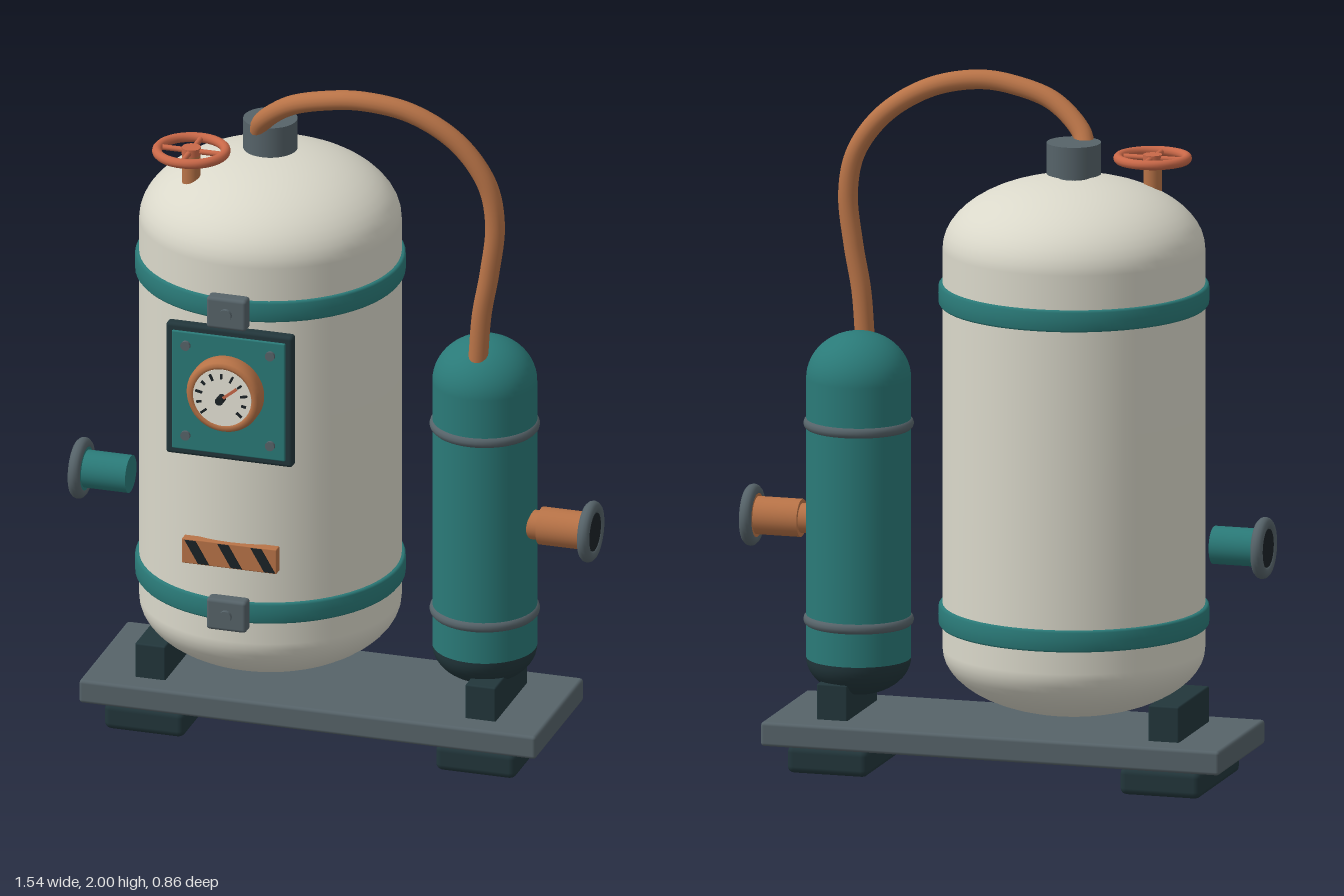
import * as THREE from 'three';
import { RoundedBoxGeometry } from 'three/addons/geometries/RoundedBoxGeometry.js';

const makeMaterial = (name, color, side = THREE.FrontSide) => new THREE.MeshStandardMaterial({ name, color, side });

export function createModel() {
  const model = new THREE.Group();
  model.name = 'pressureTankUnit';
  const cream = makeMaterial('cream', 0xdad8ca);
  const teal = makeMaterial('teal', 0x2a7a78);
  const slate = makeMaterial('slate', 0x566369);
  const dark = makeMaterial('darkSlate', 0x22363b);
  const copper = makeMaterial('copper', 0xb87347);
  const red = makeMaterial('wheelRed', 0xc96848);
  const ivory = makeMaterial('dialIvory', 0xefecdf);
  const ink = makeMaterial('ink', 0x1b2226);

  const add = (name, geometry, material, x = 0, y = 0, z = 0, parent = model) => {
    const mesh = new THREE.Mesh(geometry, material);
    mesh.name = name;
    mesh.position.set(x, y, z);
    parent.add(mesh);
    return mesh;
  };
  const box = (w, h, d, r = 0.01) => new RoundedBoxGeometry(w, h, d, 2, r);
  const rod = (r, h, seg = 32) => new THREE.CylinderGeometry(r, r, h, seg);
  const rodZ = (r, h, seg = 32) => rod(r, h, seg).rotateX(Math.PI / 2);
  const lathe = (pts, seg = 64) => new THREE.LatheGeometry(pts.map(([r, y]) => new THREE.Vector2(r, y)), seg);
  // quarter-ellipse profile running between a pole and a straight wall
  const domePoints = (r, yWall, height, up) => {
    const pts = [];
    for (let i = 0; i <= 14; i++) {
      const a = ((up ? i : 14 - i) / 14) * Math.PI / 2;
      pts.push([i === (up ? 14 : 0) ? 0 : r * Math.cos(a), yWall + (up ? 1 : -1) * height * Math.sin(a)]);
    }
    return pts;
  };

  // Base, feet and saddles
  add('basePlate', box(1.35, 0.07, 0.45), slate, -0.013, 0.115, -0.03);
  for (const [x, saddleX] of [[-0.503, -0.5], [0.476, 0.476]]) {
    add('foot', box(0.238, 0.08, 0.4, 0.02), dark, x, 0.04, -0.025);
    add('saddle', box(0.09, 0.115, 0.295, 0.005), dark, saddleX, 0.195, -0.025);
  }

  // Main tank
  const TX = -0.2, TZ = -0.053, TR = 0.37;
  add('mainTank', lathe([...domePoints(TR, 0.38, 0.185, false), ...domePoints(TR, 1.53, 0.205, true)]), cream, TX, 0, TZ);
  for (const y of [1.4, 0.477]) {
    add('tankBand', lathe([[0.36, -0.031], [0.376, -0.031], [0.381, -0.025], [0.382, 0],
      [0.381, 0.025], [0.376, 0.031], [0.36, 0.031]]), teal, TX, y, TZ);
    add('bandClasp', box(0.118, 0.095, 0.045), slate, TX, y, 0.339);
    add('claspBolt', rodZ(0.018, 0.02, 16), slate, TX, y, 0.363);
  }
  add('capNeck', rod(0.045, 0.06), slate, TX, 1.73, TZ);
  add('tankCap', rod(0.077, 0.09), slate, TX, 1.79, TZ);

  // Gauge panel
  add('panelFrame', box(0.375, 0.4, 0.035), dark, -0.198, 1.145, 0.322);
  add('panelPlate', box(0.335, 0.36, 0.012, 0.004), teal, -0.198, 1.145, 0.34);
  for (const x of [-0.323, -0.073]) for (const y of [1.01, 1.285]) {
    add('panelBolt', rodZ(0.014, 0.012, 16), slate, x, y, 0.349);
  }
  const gauge = new THREE.Group();
  gauge.name = 'gauge';
  gauge.position.set(TX, 1.16, 0);
  model.add(gauge);
  add('gaugeBezel', lathe([[0, 0.34], [0.1, 0.34], [0.11, 0.35], [0.11, 0.38], [0.104, 0.393],
    [0.094, 0.398], [0.086, 0.394], [0.084, 0.385]], 48).rotateX(Math.PI / 2), copper, 0, 0, 0, gauge);
  gauge.children[0].material = copper;
  add('dialFace', rodZ(0.086, 0.01, 48), ivory, 0, 0, 0.391, gauge);
  for (let i = 0; i < 11; i++) {
    const a = (-0.22 + i * 0.144) * Math.PI;
    const long = i % 2 === 0 ? 0.02 : 0.014;
    const tick = add('dialTick', new THREE.BoxGeometry(long, 0.006, 0.006), ink, 0.068 * Math.cos(a), 0.068 * Math.sin(a), 0.404, gauge);
    tick.rotation.z = a;
  }
  const needle = add('needle', new THREE.BoxGeometry(0.066, 0.008, 0.006), red, 0.022, 0.018, 0.414, gauge);
  needle.rotation.z = 0.68;
  add('needleHub', rodZ(0.012, 0.03, 16), ink, 0, 0, 0.411, gauge);

  // Hazard plate with slanted stripes
  add('hazardPlate', box(0.28, 0.075, 0.03, 0.003), copper, TX, 0.648, 0.316);
  const stripe = new THREE.Shape([[-0.036, 0.034], [-0.004, 0.034], [0.036, -0.034], [0.004, -0.034]]
    .map(([x, y]) => new THREE.Vector2(x, y)));
  const stripeGeometry = new THREE.ExtrudeGeometry(stripe, { depth: 0.004, bevelEnabled: false });
  for (const x of [-0.295, -0.198, -0.1]) add('hazardStripe', stripeGeometry, ink, x, 0.648, 0.33);

  // Hand wheel
  const wheel = new THREE.Group();
  wheel.name = 'handWheel';
  wheel.position.set(-0.387, 1.77, 0.094);
  model.add(wheel);
  add('wheelStem', rod(0.026, 0.12, 24), copper, 0, -0.055, 0, wheel);
  add('wheelHub', rod(0.027, 0.022, 24), red, 0, 0, 0, wheel);
  add('wheelRim', new THREE.TorusGeometry(0.097, 0.014, 12, 48).rotateX(Math.PI / 2), red, 0, 0, 0, wheel);
  add('wheelSpoke', rod(0.008, 0.19, 12).rotateZ(Math.PI / 2), red, 0, 0, 0, wheel);
  add('wheelSpoke', rodZ(0.008, 0.19, 12), red, 0, 0, 0, wheel);

  // Side cylinder
  const SX = 0.435, SZ = -0.048, SR = 0.148;
  add('sideCylinder', lathe([[SR, 0.31], ...domePoints(SR, 1.115, 0.133, true)], 48), teal, SX, 0, SZ);
  add('sideCylinderBase', lathe(domePoints(SR, 0.31, 0.105, false), 48), dark, SX, 0, SZ);
  for (const y of [0.985, 0.42]) {
    add('sideBand', new THREE.TorusGeometry(0.139, 0.017, 12, 48).rotateX(Math.PI / 2), slate, SX, y, SZ);
  }

  // Connecting pipe
  const path = new THREE.CatmullRomCurve3([
    [-0.222, 1.81, -0.01], [-0.2, 1.853, 0.015], [-0.11, 1.925, 0.05], [0, 1.96, 0.062], [0.11, 1.972, 0.062],
    [0.25, 1.945, 0.045], [0.38, 1.865, 0.03], [0.465, 1.75, 0.027], [0.489, 1.63, 0.027],
    [0.473, 1.48, 0.027], [0.45, 1.35, 0.027], [0.439, 1.21, 0.027]].map((p) => new THREE.Vector3(...p)));
  add('connectingPipe', new THREE.TubeGeometry(path, 96, 0.028, 16), copper);

  // Side ports, built along +x and turned round for the other side
  const port = (name, x, side, material) => {
    const g = new THREE.Group();
    g.name = name;
    g.position.set(x, 0.697, -0.038);
    if (side < 0) g.rotation.y = Math.PI;
    model.add(g);
    const along = (r, x0, x1) => rod(r, x1 - x0).rotateZ(Math.PI / 2).translate((x0 + x1) / 2, 0, 0);
    add('portTube', along(0.054, 0, 0.15), material, 0, 0, 0, g);
    add('portFlange', new THREE.TorusGeometry(0.07, 0.018, 12, 40).rotateY(Math.PI / 2), slate, 0.146, 0, 0, g);
    add('portLip', along(0.066, 0.13, 0.155), material, 0, 0, 0, g);
    add('portOpening', along(0.055, 0.14, 0.159), ink, 0, 0, 0, g);
    return g;
  };
  port('leftPort', 0.605, 1, copper);
  port('rightPort', -0.608, -1, teal);
  add('portNeck', rod(0.042, 0.06).rotateZ(Math.PI / 2), copper, 0.59, 0.697, -0.038);

  return model;
}
